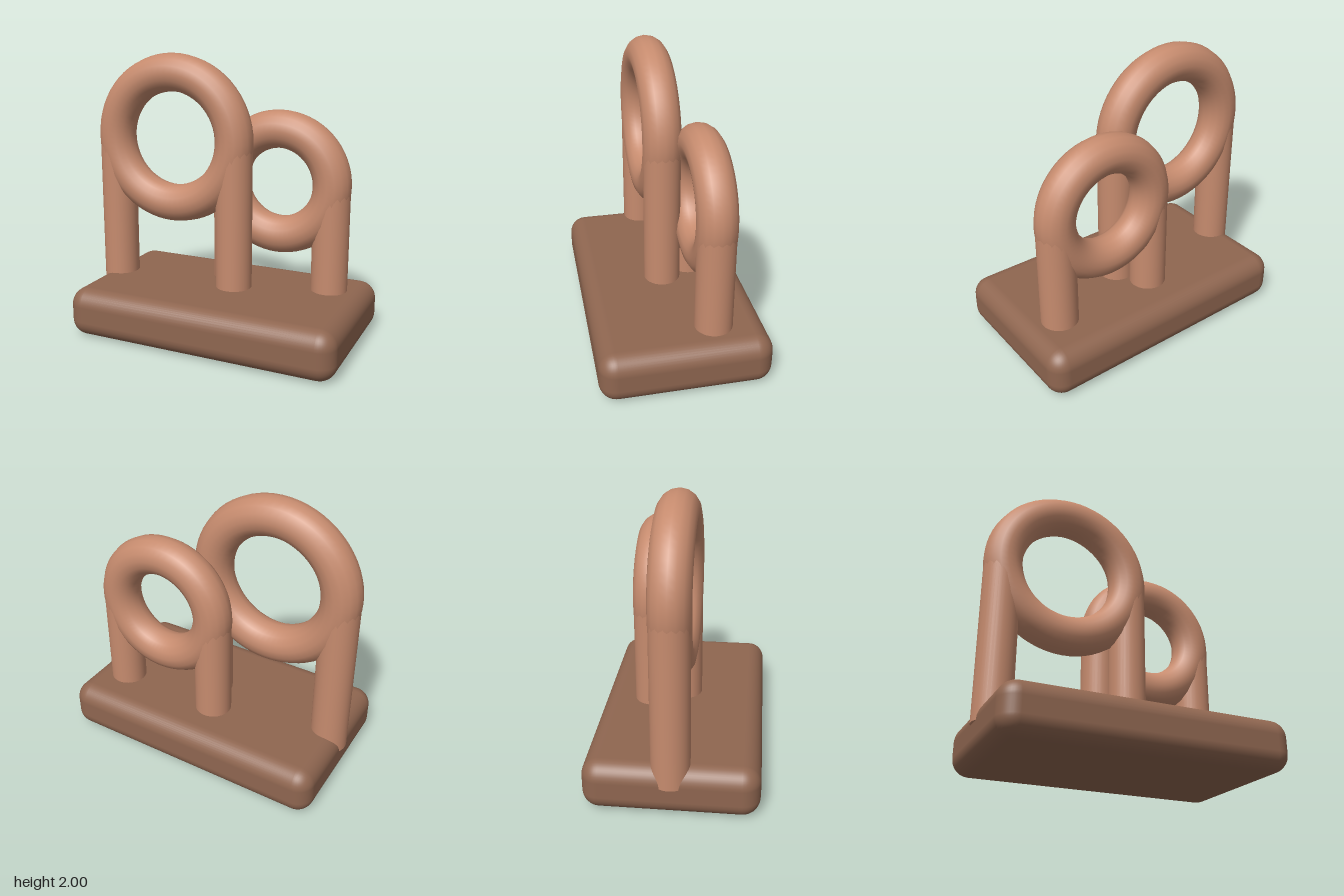
import * as THREE from 'three';
import { RoundedBoxGeometry } from 'three/addons/geometries/RoundedBoxGeometry.js';

const POST_BOTTOM = 0.22;

// A ring standing on two posts that run up into the sides of its tube
function createRing(name, x, y, z, radius, material) {
  const group = new THREE.Group();
  group.name = name;

  const ring = new THREE.Mesh(new THREE.TorusGeometry(radius, 0.135, 16, 64), material);
  ring.name = 'ring';
  ring.position.set(x, y, z);
  group.add(ring);

  const height = y - POST_BOTTOM;
  for (const side of [-1, 1]) {
    const post = new THREE.Mesh(new THREE.CylinderGeometry(0.13, 0.13, height, 32), material);
    post.name = side < 0 ? 'rightPost' : 'leftPost';
    post.position.set(x + side * radius, POST_BOTTOM + height / 2, z);
    group.add(post);
  }
  return group;
}

export function createModel() {
  const model = new THREE.Group();
  model.name = 'ringStand';

  const ringClay = new THREE.MeshStandardMaterial({ color: 0xc68b6e });
  ringClay.name = 'light terracotta';
  const baseClay = new THREE.MeshStandardMaterial({ color: 0x8f6650 });
  baseClay.name = 'dark terracotta';

  // Rounded slab
  const base = new THREE.Mesh(new RoundedBoxGeometry(1.975, 0.35, 1.17, 5, 0.12), baseClay);
  base.name = 'base';
  base.position.set(0.01, 0.175, 0);
  model.add(base);

  // Large ring in front, small ring behind
  model.add(createRing('largeRing', -0.395, 1.395, 0, 0.47, ringClay));
  model.add(createRing('smallRing', 0.34, 1.1, -0.22, 0.381, ringClay));

  return model;
}
